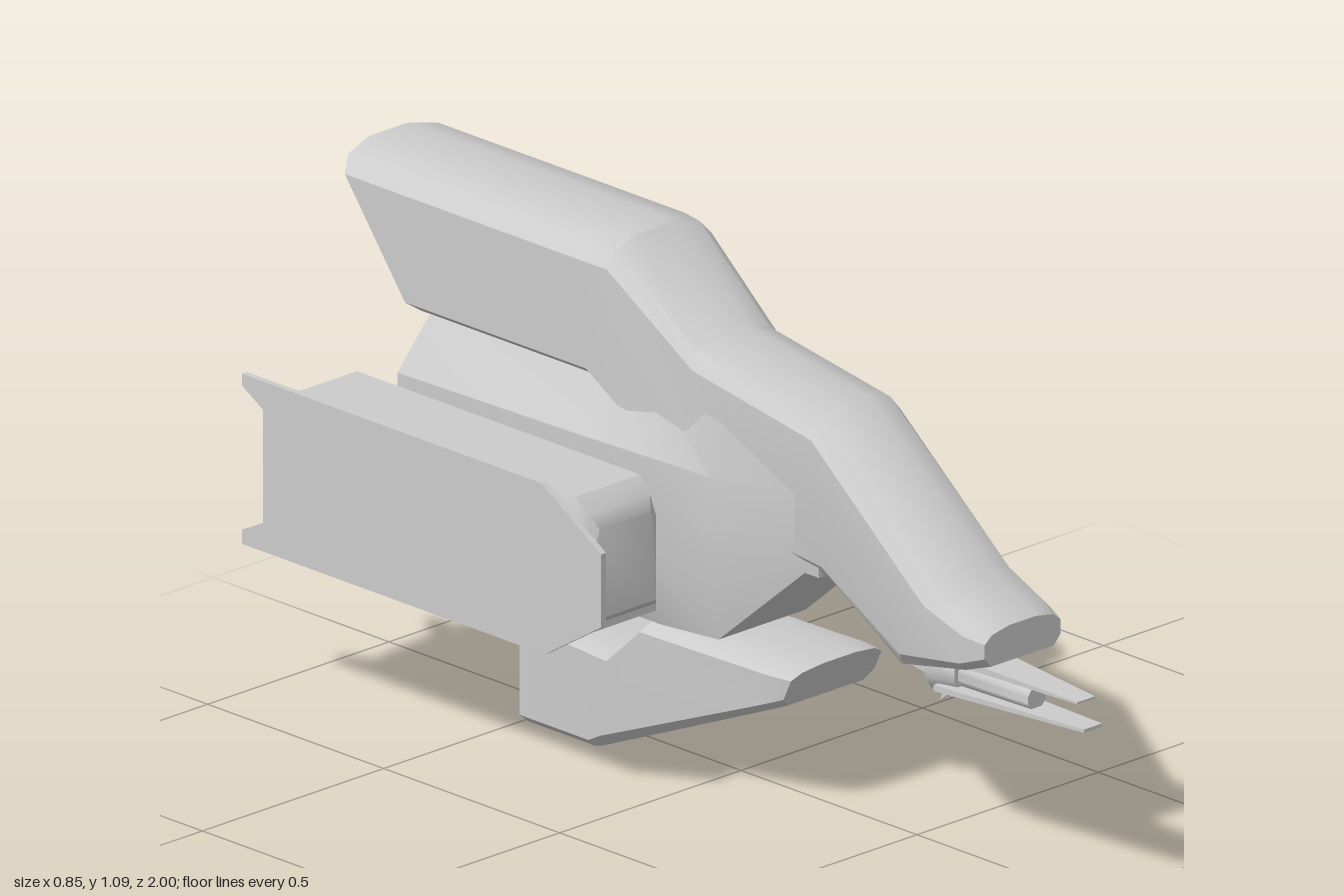
import * as THREE from 'three';
import { toCreasedNormals } from 'three/addons/utils/BufferGeometryUtils.js';

const grey = new THREE.MeshStandardMaterial({ color: 0xcccccc, side: THREE.DoubleSide });

function mesh(name, geometry, parent) {
  const m = new THREE.Mesh(geometry, grey);
  m.name = name;
  parent.add(m);
  return m;
}

// Skin closed rings of [x, y, z], listed from front to back, and cap both ends
function loft(rings, crease = 0.6) {
  const n = rings[0].length, index = [];
  for (let i = 0; i < rings.length - 1; i++) {
    for (let j = 0; j < n; j++) {
      const k = (j + 1) % n, a = i * n + j, b = i * n + k;
      index.push(a, a + n, b, a + n, b + n, b);
    }
  }
  const last = (rings.length - 1) * n;
  for (let j = 1; j < n - 1; j++) {
    index.push(0, j, j + 1, last, last + j + 1, last + j);
  }
  const g = new THREE.BufferGeometry();
  g.setAttribute('position', new THREE.Float32BufferAttribute(rings.flat(2), 3));
  g.setIndex(index);
  return toCreasedNormals(g, crease);
}

// Complete a right-hand half ring (bottom to top) with its mirror image
const mirrorRing = half => [...half, ...half.map(([x, y, z]) => [-x, y, z]).reverse()];

// Bevelled section whose top and bottom may sit at different z
function section([zTop, yTop, zBot, yBot, w, top, bottom]) {
  const half = [
    [w * 0.82, yBot], [w, yBot + bottom], [w, yTop - top],
    [w * 0.8, yTop - top * 0.35], [w * 0.35, yTop],
  ];
  return mirrorRing(half.map(([x, y]) =>
    [x, y, THREE.MathUtils.mapLinear(y, yBot, yTop, zBot, zTop)]));
}

// Outline drawn as (z, y), extruded across x and centred on x = 0
function sideProfile(points, width) {
  const shape = new THREE.Shape(points.map(([z, y]) => new THREE.Vector2(-z, y)));
  return new THREE.ExtrudeGeometry(shape, { depth: width, bevelEnabled: false })
    .translate(0, 0, -width / 2).rotateY(Math.PI / 2);
}

export function createModel() {
  const model = new THREE.Group();
  model.name = 'spacecraft';

  // Nose, neck and raised tail with a raked rear face
  mesh('neckAndTail', loft([
    [0.8, 0.54, 0.8, 0.465, 0.105, 0.025, 0.02],
    [0.76, 0.56, 0.74, 0.445, 0.12, 0.035, 0.02],
    [0.67, 0.605, 0.56, 0.41, 0.122, 0.045, 0.03],
    [0.32, 0.875, 0.36, 0.535, 0.124, 0.05, 0.03],
    [-0.03, 0.93, 0.12, 0.56, 0.124, 0.05, 0.03],
    [-0.24, 1.09, -0.18, 0.72, 0.145, 0.05, 0.03],
    [-0.29, 1.09, -0.28, 0.8, 0.155, 0.045, 0.02],
    [-1.0, 1.09, -0.78, 0.8, 0.155, 0.045, 0.02],
  ].map(section)), model);

  // Wide faceted main hull: z, bottom, bottom half width, middle half width, middle heights
  mesh('mainHull', loft([
    [0.34, 0.535, 0.115, 0.121, 0.6, 0.7],
    [0.3, 0.535, 0.115, 0.122, 0.6, 0.7],
    [0.06, 0.33, 0.12, 0.145, 0.5, 0.68],
    [-0.1, 0.32, 0.125, 0.172, 0.49, 0.69],
    [-0.24, 0.32, 0.125, 0.2, 0.49, 0.7],
    [-0.77, 0.32, 0.125, 0.2, 0.49, 0.69],
  ].map(([z, bot, wb, wm, y1, y2]) => mirrorRing([
    [wb, bot, z], [wm, y1, z], [wm, y2, z], [0.122, 0.81, z < -0.7 ? z + 0.02 : z],
  ])), 0.35), model);

  // Belly pod
  mesh('bellyPod', loft([
    [0.28, 0.32, 0.24, 0.235, 0.125, 0.02, 0.02],
    [0.22, 0.32, 0.18, 0.209, 0.135, 0.02, 0.02],
    [-0.14, 0.32, -0.28, 0.01, 0.13, 0.03, 0.03],
    [-0.24, 0.22, -0.3, 0.005, 0.135, 0.015, 0.02],
    [-0.49, 0.235, -0.49, 0.005, 0.135, 0.015, 0.02],
  ].map(r => {
    const s = section(r);
    s.forEach(p => { if (p[1] > r[1] - r[5] && Math.abs(p[0]) < r[4] * 0.7) p[1] = r[1]; });
    return s;
  }), 0.4), model);

  // Side engines, each with an outer armour plate and a lower ledge
  for (const side of [1, -1]) {
    const engine = new THREE.Group();
    engine.name = side > 0 ? 'leftEngine' : 'rightEngine';
    engine.position.x = side * 0.305;
    model.add(engine);

    mesh('engineBody', loft([
      [-0.015, 0.085, 0.42, 0.61],
      [-0.03, 0.1, 0.405, 0.64],
      [-0.065, 0.109, 0.39, 0.67],
      [-0.87, 0.109, 0.39, 0.67],
      [-0.9, 0.1, 0.405, 0.64],
      [-0.925, 0.085, 0.42, 0.61],
    ].map(([z, w, bot, top]) => mirrorRing([
      [w, bot, z], [w, top - 0.05, z], [w * 0.83, top, z],
    ]))), engine);

    mesh('engineLedge', new THREE.BoxGeometry(0.22, 0.016, 0.85), engine)
      .position.set(0, 0.392, -0.465);

    mesh('armourPlate', sideProfile([
      [0.04, 0.585], [-0.13, 0.69], [-0.98, 0.69], [-0.98, 0.665], [-0.92, 0.63],
      [-0.92, 0.39], [-0.98, 0.36], [-0.98, 0.33], [-0.12, 0.33], [0.04, 0.43],
    ], 0.014), engine).position.x = side * 0.113;

    // Thruster nozzle with raked ends
    const nozzle = new THREE.CylinderGeometry(0.05, 0.05, 0.1, 8).rotateX(Math.PI / 2);
    nozzle.scale(0.8, 1, 1);
    const p = nozzle.attributes.position;
    for (let i = 0; i < p.count; i++) p.setZ(i, p.getZ(i) - p.getY(i) * 0.65);
    mesh('thruster', toCreasedNormals(nozzle, 0.3), model)
      .position.set(side * 0.052, 0.86, -0.845);
  }

  // Chin gun: barrel, two tapered blades, bracket and fin
  const gun = new THREE.Group();
  gun.name = 'chinGun';
  model.add(gun);
  const barrel = mesh('barrel', new THREE.CylinderGeometry(0.025, 0.03, 0.24, 10).rotateX(Math.PI / 2), gun);
  barrel.geometry = toCreasedNormals(barrel.geometry.toNonIndexed(), 0.7);
  barrel.position.set(0, 0.387, 0.72);
  mesh('collar', new THREE.CylinderGeometry(0.04, 0.055, 0.07, 10).rotateX(Math.PI / 2), gun)
    .position.set(0, 0.39, 0.61);

  const blade = (name, front, back) => mesh(name, loft([front, back].map(([z, w, y0, y1]) =>
    mirrorRing([[w, y0, z], [w, y1, z]])), 0.2), gun);
  blade('upperBlade', [0.98, 0.025, 0.418, 0.422], [0.62, 0.052, 0.42, 0.438]);
  blade('lowerBlade', [1.0, 0.025, 0.363, 0.37], [0.6, 0.052, 0.35, 0.363]);

  mesh('bracket', sideProfile([
    [0.52, 0.43], [0.53, 0.385], [0.6, 0.375], [0.6, 0.395], [0.55, 0.4], [0.535, 0.435],
  ], 0.09), gun);
  mesh('fin', sideProfile([[0.64, 0.365], [0.57, 0.31], [0.59, 0.37]], 0.008), gun);

  return model;
}
